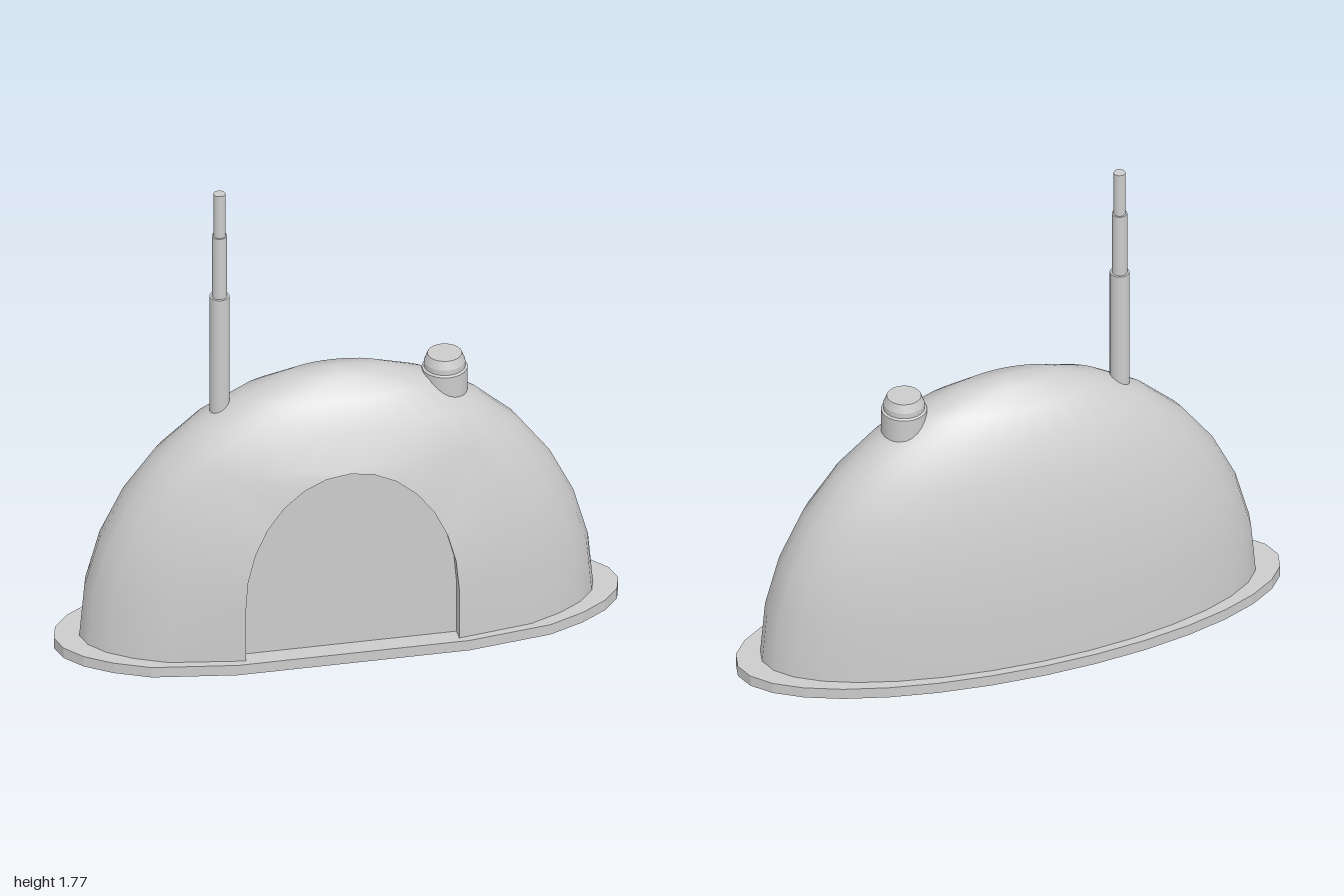
import * as THREE from 'three';
import { mergeVertices } from 'three/addons/utils/BufferGeometryUtils.js';

const CZ = 0.03;        // z of the dome's axis
const FLOOR = 0.04;     // top of the base plate
const DOOR_Z = 0.268;   // plane of the recessed door
const V = (x, y, z) => new THREE.Vector3(x, y, z);

// Builds an indexed geometry with smooth normals from quads (a, b, c, d)
function fromQuads(quads) {
  const p = [];
  for (const [a, b, c, d] of quads)
    for (const v of [a, b, c, a, c, d]) p.push(v.x, v.y, v.z);
  let g = new THREE.BufferGeometry();
  g.setAttribute('position', new THREE.Float32BufferAttribute(p, 3));
  g = mergeVertices(g, 1e-4);
  g.computeVertexNormals();
  return g;
}

// Quads between two paths with equal numbers of points
function strip(a, b) {
  const q = [];
  for (let k = 0; k < a.length - 1; k++) q.push([a[k], b[k], b[k + 1], a[k + 1]]);
  return q;
}

// Point on the half ellipsoid: i counts round from the front, j up to the top
function domePoint(i, j) {
  const a = (i * Math.PI) / 16, t = (j * Math.PI) / 16;
  const r = j === 8 ? 0 : Math.cos(t);
  return V(0.91 * Math.sin(a) * r, FLOOR + 0.99 * Math.sin(t), CZ + 0.34 * Math.cos(a) * r);
}

// Edge of the doorway, from bottom -x over the top to bottom +x
function archPath() {
  const pts = [];
  for (let k = 0; k <= 16; k++) {
    const a = Math.PI * (1 - (k - 1) / 14);
    const end = k === 0 || k === 16;
    const x = end ? (k ? 0.378 : -0.378) : 0.378 * Math.cos(a);
    const y = end ? FLOOR : 0.24 + 0.49 * Math.sin(a);
    pts.push(V(x, y, 0.315 - 0.04 * Math.max(0, (y - 0.24) / 0.49)));
  }
  return pts;
}

export function createModel() {
  const group = new THREE.Group();
  const mat = new THREE.MeshStandardMaterial({ color: 0xcccccc });
  const twoSided = new THREE.MeshStandardMaterial({ color: 0xcccccc, side: THREE.DoubleSide });
  const add = (name, geo, m = mat, x = 0, y = 0, z = 0) => {
    const mesh = new THREE.Mesh(geo, m);
    mesh.name = name;
    mesh.position.set(x, y, z);
    group.add(mesh);
    return mesh;
  };

  // Base plate: an ellipse flattened at the front
  const outline = [];
  for (let i = 4; i <= 28; i++) {
    const a = (i * Math.PI) / 16;
    outline.push(new THREE.Vector2(Math.sin(a), -(CZ + 0.37 * Math.cos(a))));
  }
  outline.push(new THREE.Vector2(-0.41, -0.338), new THREE.Vector2(0.41, -0.338));
  const plate = new THREE.ExtrudeGeometry(new THREE.Shape(outline), { depth: FLOOR, bevelEnabled: false });
  plate.rotateX(-Math.PI / 2);
  add('basePlate', plate);

  // Dome, with an opening left at the front
  const quads = [];
  for (let i = -16; i < 16; i++)
    for (let j = 0; j < 8; j++) {
      if (i >= -4 && i < 4 && j < 4) continue;
      quads.push([domePoint(i, j), domePoint(i + 1, j), domePoint(i + 1, j + 1), domePoint(i, j + 1)]);
    }
  // Flatter front panel between the opening and the doorway
  const rim = [];
  for (let j = 0; j < 4; j++) rim.push(domePoint(-4, j));
  for (let i = -4; i <= 4; i++) rim.push(domePoint(i, 4));
  for (let j = 3; j >= 0; j--) rim.push(domePoint(4, j));
  const arch = archPath();
  add('dome', fromQuads(quads.concat(strip(rim, arch))), twoSided);

  // Recessed doorway
  const back = arch.map((p) => V(p.x, p.y, DOOR_Z));
  add('doorwayEdge', fromQuads(strip(arch, back)), twoSided);
  const doorShape = new THREE.Shape(arch.map((p) => new THREE.Vector2(p.x, p.y)));
  add('door', new THREE.ShapeGeometry(doorShape), twoSided, 0, 0, DOOR_Z);

  // Short chimney with a stepped, bevelled cap
  const stack = (name, x, segs, pairs) => {
    const g = new THREE.LatheGeometry(pairs.map(([r, y]) => new THREE.Vector2(r, y)), segs).toNonIndexed();
    g.computeVertexNormals();
    const smooth = smoothSides(g);
    add(name, smooth, mat, x, 0, CZ);
  };
  stack('chimney', 0.385, 24, [[0.08, 0.82], [0.08, 0.975], [0.072, 0.98], [0.072, 1.0], [0.06, 1.03], [0, 1.03]]);

  // Telescopic antenna
  stack('antenna', -0.413, 16, [[0.035, 0.85], [0.035, 1.36], [0.027, 1.36], [0.027, 1.605], [0.021, 1.605], [0.021, 1.775], [0, 1.775]]);

  return group;
}

// Smooths a lathed part round its axis while keeping its steps sharp
function smoothSides(g) {
  const p = g.attributes.position, n = g.attributes.normal;
  for (let i = 0; i < p.count; i++) {
    const r = Math.hypot(p.getX(i), p.getZ(i));
    const h = Math.hypot(n.getX(i), n.getZ(i));
    if (r > 1e-5 && h > 0.05) n.setXYZ(i, (p.getX(i) / r) * h, n.getY(i), (p.getZ(i) / r) * h);
  }
  return g;
}
